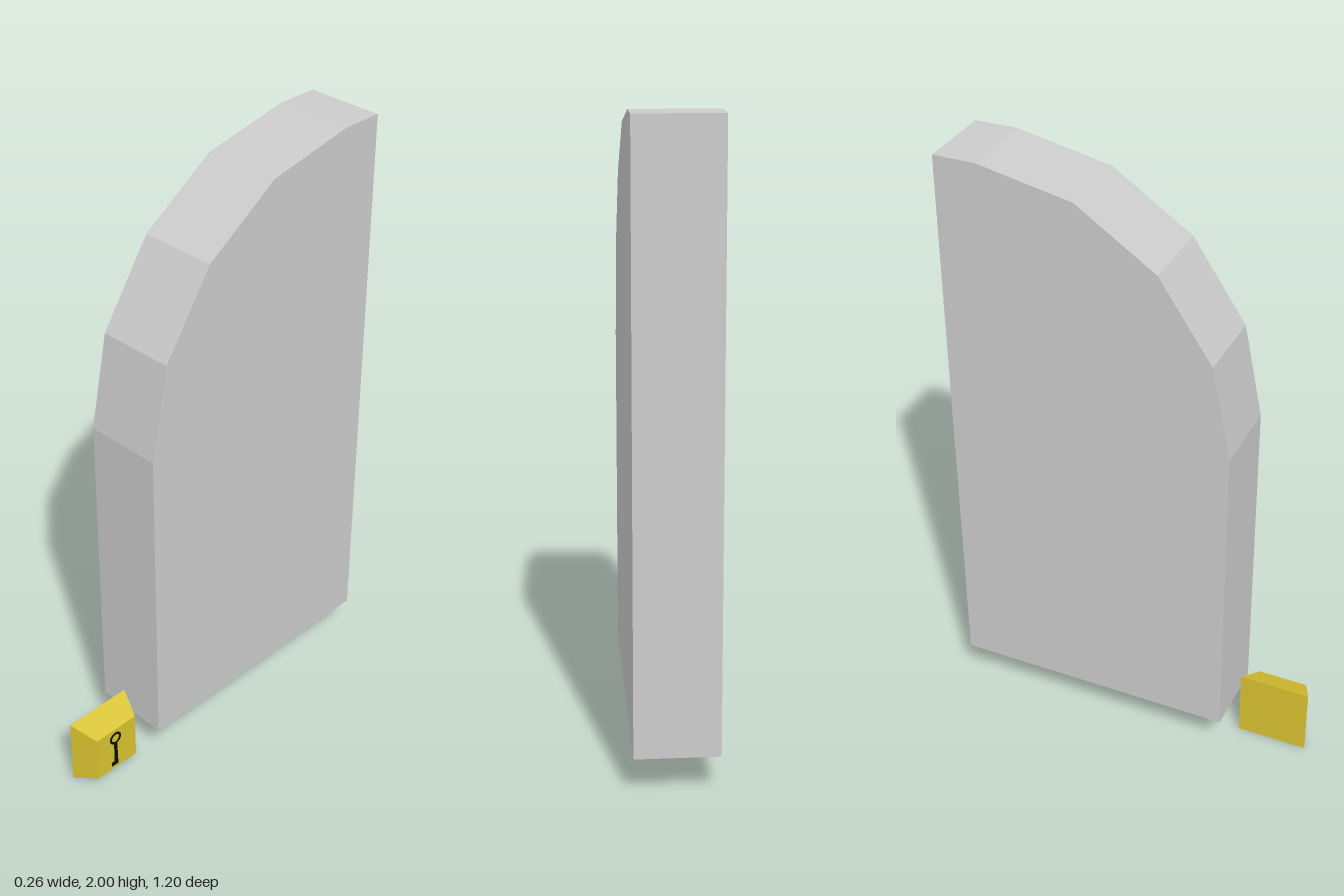
import * as THREE from 'three';

// Shapes are drawn with local x = -z and local y = y, then extruded along +x.
function sideExtrude(shape, x, depth, curveSegments = 6) {
  const g = new THREE.ExtrudeGeometry(shape, { depth, bevelEnabled: false, curveSegments });
  g.rotateY(Math.PI / 2);
  g.translate(x, 0, 0);
  return g;
}

export function createModel() {
  const group = new THREE.Group();
  const add = (name, geometry, color) => {
    const material = new THREE.MeshStandardMaterial({ color, flatShading: true });
    const mesh = new THREE.Mesh(geometry, material);
    mesh.name = name;
    group.add(mesh);
    return mesh;
  };

  // Door leaf: half of a round-topped door, arch in four straight facets
  const back = -0.6, front = 0.34, bottom = 0.13, radius = 0.8;
  const outline = [[back, bottom], [back, 2]];
  for (let i = 0; i <= 4; i++) {
    const a = Math.PI / 2 - (i * Math.PI) / 8;
    outline.push([front - radius + radius * Math.cos(a), 2 - radius + radius * Math.sin(a)]);
  }
  outline.push([front, bottom]);
  const leaf = new THREE.Shape(outline.map(([z, y]) => new THREE.Vector2(-z, y)));
  add('doorLeaf', sideExtrude(leaf, -0.13, 0.26), 0xcccccc);

  // Lock block: square frustum narrowing towards +x
  const lock = new THREE.CylinderGeometry(0.165 / Math.SQRT2, 0.236 / Math.SQRT2, 0.087, 4);
  lock.rotateY(Math.PI / 4);
  lock.rotateZ(-Math.PI / 2);
  lock.translate(0.0385, 0.12, 0.482);
  add('lockBlock', lock, 0xd8c230);

  // Key emblem on the lock face: ring bow, stem and bit
  const keyX = 0.0815, keyZ = 0.487, depth = 0.002, black = 0x0c0c08;
  const bow = new THREE.Shape().absarc(-keyZ, 0.165, 0.024, 0, Math.PI * 2);
  bow.holes.push(new THREE.Path().absarc(-keyZ, 0.165, 0.016, 0, Math.PI * 2, true));
  add('keyBow', sideExtrude(bow, keyX, depth), black);

  const stem = new THREE.Shape([
    [-0.006, 0.143], [-0.008, 0.066], [-0.02, 0.066], [-0.02, 0.05], [0.008, 0.05], [0.006, 0.143],
  ].map(([x, y]) => new THREE.Vector2(x - keyZ, y)));
  add('keyStem', sideExtrude(stem, keyX, depth), black);

  return group;
}
